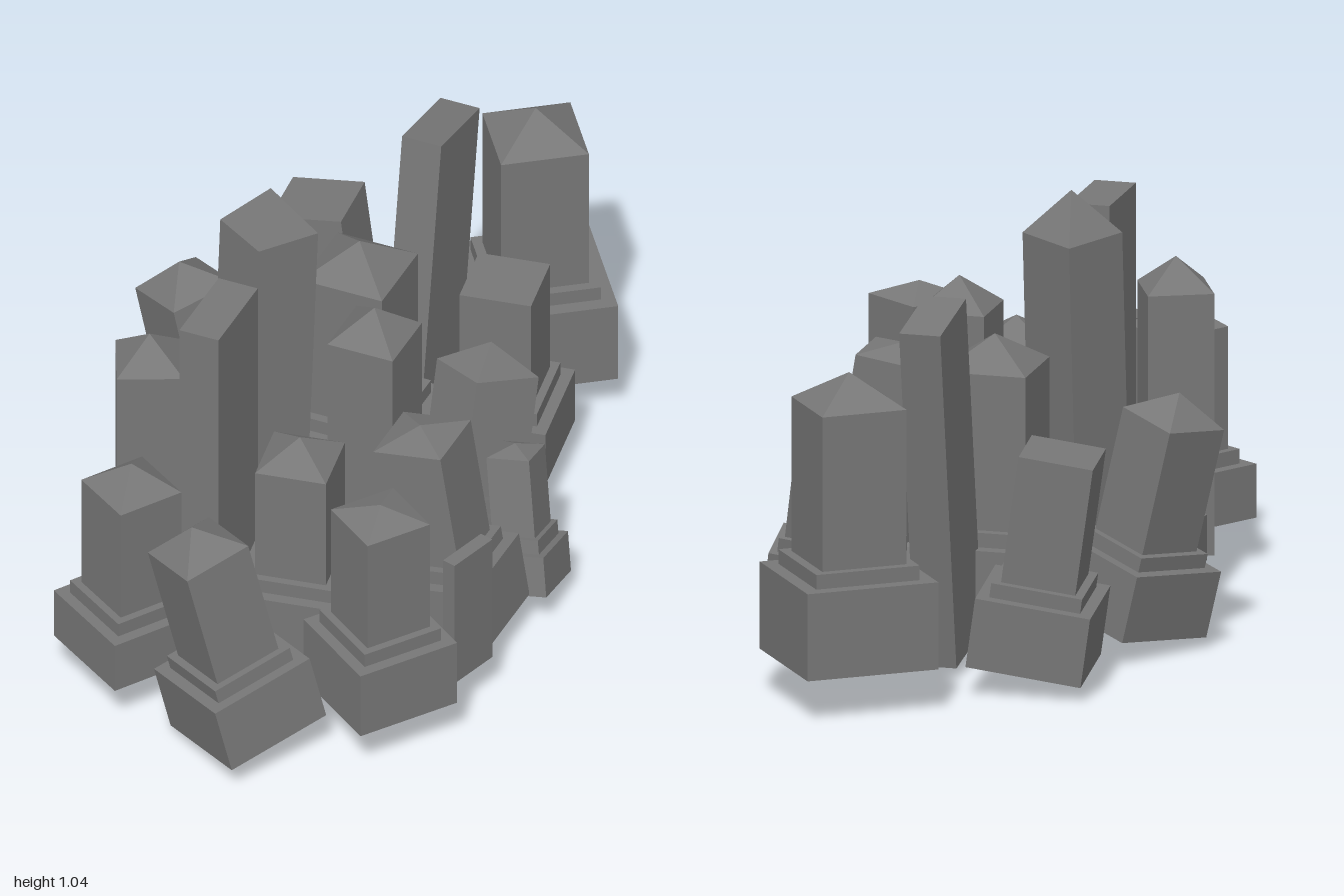
import * as THREE from 'three';

const stone = new THREE.MeshStandardMaterial({ color: 0x777777, flatShading: true });
const UP = new THREE.Vector3(0, 1, 0);
const STEP_HEIGHT = 0.035;

// A square block standing on height y
function block(group, name, width, height, depth, y) {
  const mesh = new THREE.Mesh(new THREE.BoxGeometry(width, height, depth), stone);
  mesh.name = name;
  mesh.position.y = y + height / 2;
  group.add(mesh);
}

// Stands a group on its bottom centre, turned by yaw degrees and leaning towards its tip
function place(group, name, from, axis, yaw) {
  group.name = name;
  group.position.copy(from);
  group.quaternion.setFromUnitVectors(UP, axis.clone().normalize());
  group.rotateY(THREE.MathUtils.degToRad(yaw));
  return group;
}

// A shaft from height y up to length, closed by a pyramid of height cap (0 is flat)
function addShaft(group, width, depth, y, length, cap) {
  block(group, 'shaft', width, length - cap - y, depth, y);
  if (cap === 0) return;
  const cone = new THREE.ConeGeometry(Math.SQRT1_2, cap, 4, 1, true);
  cone.rotateY(Math.PI / 4).scale(width, 1, depth);
  const mesh = new THREE.Mesh(cone, stone);
  mesh.name = 'pyramidCap';
  mesh.position.y = length - cap / 2;
  group.add(mesh);
}

// A bare column: no plinth
function column(name, from, to, yaw, width, depth, cap) {
  const group = new THREE.Group();
  const axis = to.clone().sub(from);
  addShaft(group, width, depth, 0, axis.length(), cap);
  return place(group, name, from, axis, yaw);
}

// A column on a plinth and step, both in proportion to the plinth's side
function obelisk(name, from, to, yaw, side, plinthHeight, cap) {
  const group = new THREE.Group();
  const axis = to.clone().sub(from);
  block(group, 'plinth', side, plinthHeight, side, 0);
  block(group, 'step', side * 0.79, STEP_HEIGHT, side * 0.79, plinthHeight);
  addShaft(group, side * 0.645, side * 0.645, plinthHeight + STEP_HEIGHT, axis.length(), cap);
  return place(group, name, from, axis, yaw);
}

export function createModel() {
  const model = new THREE.Group();
  model.name = 'pillarCluster';
  const at = (x, y, z) => new THREE.Vector3(x, y, z);
  const upright = (name, x, z, bottom, top, ...rest) =>
    model.add(obelisk(name, at(x, bottom, z), at(x, top, z), ...rest));
  const leaning = (...spec) => model.add(obelisk(...spec));
  const bare = (...spec) => model.add(column(...spec));

  // Upright obelisks and flat pillars on plinths
  upright('backObelisk', 0.145, -0.775, 0.105, 0.797, 36, 0.325, 0.21, 0.075);
  upright('middleObelisk', -0.04, -0.18, 0.08, 0.755, 0, 0.32, 0.19, 0.075);
  upright('frontObelisk', 0.083, 0.437, 0.1, 0.637, 9, 0.265, 0.15, 0.06);
  upright('frontLeftObelisk', 0.372, 0.625, 0.115, 0.653, -35.5, 0.262, 0.173, 0.035);
  upright('frontRightObelisk', -0.235, 0.69, 0.11, 0.635, -33, 0.262, 0.13, 0.065);
  upright('backLeftPillar', 0.232, -0.403, 0.1, 0.575, 9, 0.268, 0.145, 0);
  upright('smallRightPillar', -0.353, 0.215, 0.12, 0.485, 0, 0.14, 0.11, 0);

  // Leaning ones on plinths
  leaning('leaningFrontObelisk', at(0.113, 0.07, 0.8), at(-0.01, 0.625, 0.85), -33, 0.27, 0.167, 0.065);
  leaning('leaningRightObelisk', at(-0.34, 0.066, -0.1), at(-0.465, 0.622, -0.1), -33, 0.265, 0.165, 0.065);
  leaning('leaningBackPillar', at(-0.225, 0.06, -0.505), at(-0.3, 0.57, -0.52), 6, 0.275, 0.17, 0);
  leaning('leaningLeftObelisk', at(0.295, 0.06, -0.03), at(0.29, 0.552, -0.195), -34, 0.268, 0.13, 0.065);
  leaning('leaningSmallObelisk', at(0.478, 0.065, 0.03), at(0.422, 0.405, -0.035), 4, 0.165, 0.1, 0.02);
  leaning('leaningSideObelisk', at(0.388, 0.07, 0.24), at(0.302, 0.605, 0.24), 0, 0.27, 0.17, 0.03);

  // Bare columns with pyramid caps
  bare('tallColumn', at(-0.153, 0.07, 0.16), at(-0.153, 1.045, 0.075), -33, 0.165, 0.165, 0.105);
  bare('centreColumn', at(0.13, 0.07, 0.115), at(0.13, 0.81, 0.115), 0, 0.167, 0.167, 0.075);
  bare('rightColumn', at(-0.308, 0.105, 0.422), at(-0.308, 0.81, 0.422), 25, 0.157, 0.157, 0.075);

  // Bare flat slabs
  bare('leaningBackSlab', at(0.012, 0.045, -0.392), at(0.012, 0.88, -0.53), 0, 0.1, 0.223, 0);
  bare('frontSlab', at(-0.125, 0.11, 0.437), at(-0.125, 0.945, 0.437), 0, 0.1, 0.225, 0);
  bare('thinSideSlab', at(0.515, 0.105, 0.445), at(0.515, 0.445, 0.445), -16, 0.035, 0.137, 0);

  return model;
}
